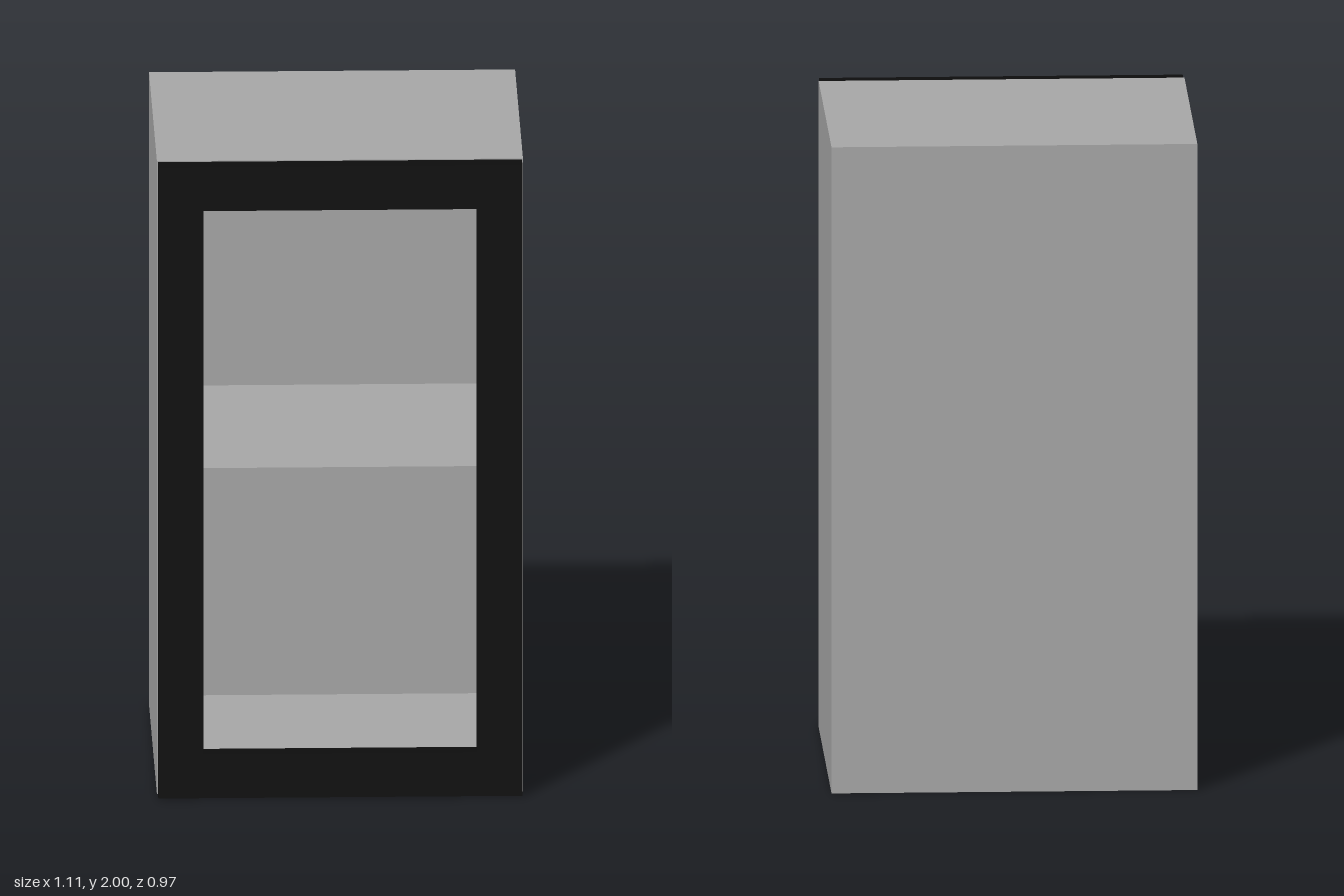
import * as THREE from 'three';

export function createModel() {
  const cabinet = new THREE.Group();
  cabinet.name = 'cabinet';
  const grey = new THREE.MeshStandardMaterial({ color: 0xa8a8a8 });
  grey.name = 'grey panel';
  const black = new THREE.MeshStandardMaterial({ color: 0x0d0d0d });
  black.name = 'black frame';

  const W = 1.106, H = 2, T = 0.05;      // carcass width, height, board thickness
  const BACK = -0.485, FRONT = 0.43, DOOR = 0.485;
  const depth = FRONT - BACK, midZ = (FRONT + BACK) / 2;
  const backT = 0.065;

  function board(name, w, h, d, x, y, z) {
    const mesh = new THREE.Mesh(new THREE.BoxGeometry(w, h, d), grey);
    mesh.name = name;
    mesh.position.set(x, y, z);
    cabinet.add(mesh);
  }

  // Carcass: full-height sides, with the other boards fitted between them
  const innerW = W - 2 * T, innerD = depth - backT, innerZ = midZ + backT / 2;
  for (const [name, s] of [['leftSide', 1], ['rightSide', -1]]) {
    board(name, T, H, depth, s * (W - T) / 2, H / 2, midZ);
  }
  board('bottom', innerW, T, depth, 0, T / 2, midZ);
  board('top', innerW, T, depth, 0, H - T / 2, midZ);
  board('backPanel', innerW, H - 2 * T, backT, 0, H / 2, BACK + backT / 2);
  board('shelf', innerW, T, innerD, 0, 1.004, innerZ);

  // Open door frame, a hair smaller than the carcass
  const rect = (P, x, y0, y1) => new P([
    new THREE.Vector2(-x, y0), new THREE.Vector2(x, y0),
    new THREE.Vector2(x, y1), new THREE.Vector2(-x, y1),
  ]);
  const outline = rect(THREE.Shape, 0.55, 0.003, 1.997);
  outline.holes.push(rect(THREE.Path, 0.413, 0.142, 1.858));
  const frame = new THREE.Mesh(
    new THREE.ExtrudeGeometry(outline, { depth: DOOR - FRONT, bevelEnabled: false }), black);
  frame.name = 'doorFrame';
  frame.position.z = FRONT;
  cabinet.add(frame);

  return cabinet;
}
